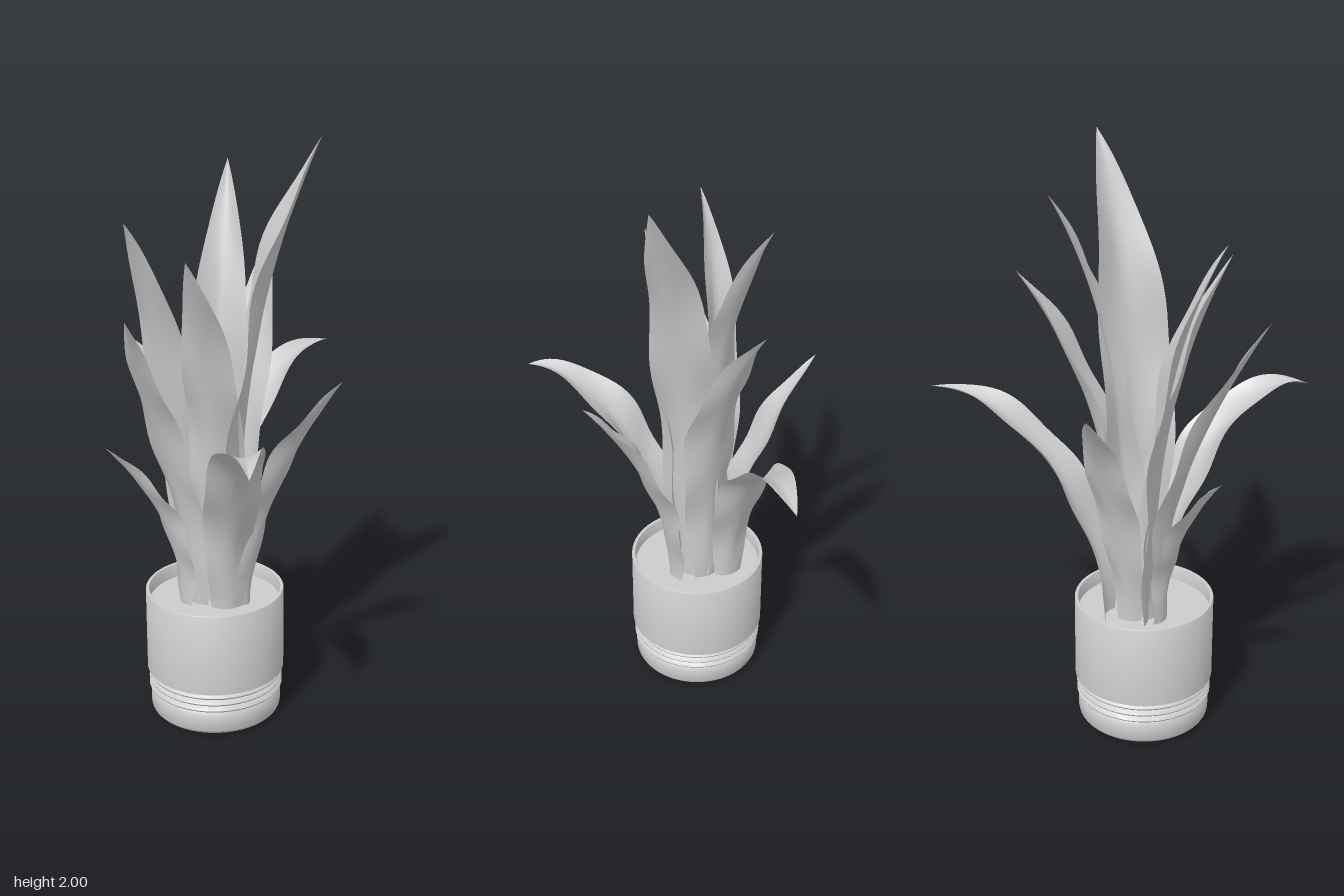
import * as THREE from 'three';
import { toCreasedNormals } from 'three/addons/utils/BufferGeometryUtils.js';

const potX = -0.07, potZ = 0.155, rootY = 0.4;

// Channelled, pointed blade swept along a curve; angle turns its width about y
function leafGeometry(curve, width, angle, phase) {
  const rows = 40, cols = 8;
  const pos = [], index = [];
  for (let i = 0; i <= rows; i++) {
    const t = i / rows;
    const centre = curve.getPointAt(t), tangent = curve.getTangentAt(t);
    const side = new THREE.Vector3(Math.cos(angle), 0, Math.sin(angle));
    side.addScaledVector(tangent, -side.dot(tangent)).normalize();
    // inner face looks towards the middle of the plant and upwards
    const inner = new THREE.Vector3().crossVectors(side, tangent).normalize();
    const guide = new THREE.Vector3(potX - centre.x, 0.25, potZ - centre.z);
    if (inner.dot(guide) < 0) inner.negate();
    const taper = t < 0.5
      ? 0.56 + 0.44 * Math.sin(t * Math.PI)
      : 1 - Math.pow((t - 0.5) / 0.5, 2.1);
    const half = 0.5 * width * taper;
    for (let j = 0; j <= cols; j++) {
      const s = j / cols * 2 - 1;
      const ripple = 0.14 * Math.sin(t * 19 + phase + s * 0.9) * Math.abs(s);
      const lift = half * (0.45 * (Math.pow(Math.abs(s), 1.5) - 0.4) + ripple);
      const v = centre.clone().addScaledVector(side, half * s).addScaledVector(inner, lift);
      pos.push(v.x, v.y, v.z);
      if (i < rows && j < cols) {
        const a = i * (cols + 1) + j, b = a + cols + 1;
        index.push(a, a + 1, b, a + 1, b + 1, b);
      }
    }
  }
  const g = new THREE.BufferGeometry();
  g.setAttribute('position', new THREE.Float32BufferAttribute(pos, 3));
  g.setIndex(index);
  g.computeVertexNormals();
  return g;
}

export function createModel() {
  const model = new THREE.Group();
  model.name = 'pottedPlant';
  const solid = new THREE.MeshStandardMaterial({ color: 0xcccccc });
  const thin = new THREE.MeshStandardMaterial({ color: 0xcccccc, side: THREE.DoubleSide });

  // Pot: rounded foot, ribbed band, straight wall and open rim
  const profile = [];
  const to = (r, y) => profile.push(new THREE.Vector2(r, y));
  to(0, 0);
  for (let i = 0; i <= 5; i++) {
    const a = i / 5 * Math.PI / 2;
    to(0.196 + 0.03 * Math.sin(a), 0.03 * (1 - Math.cos(a)));
  }
  to(0.226, 0.075);
  for (let i = 0; i <= 18; i++) {
    to(0.218 + 0.014 * Math.abs(Math.sin(i / 6 * Math.PI)), 0.088 + i * 0.004);
  }
  to(0.237, 0.165);
  to(0.237, 0.457);
  to(0.235, 0.46);
  to(0.226, 0.46);
  to(0.224, 0.457);
  to(0.224, 0.39);
  const pot = new THREE.Mesh(toCreasedNormals(new THREE.LatheGeometry(profile, 64), 0.7), solid);
  pot.name = 'pot';
  pot.position.set(potX, 0, potZ);
  model.add(pot);

  // Soil surface just below the rim
  const soil = new THREE.Mesh(new THREE.CircleGeometry(0.225, 64).rotateX(-Math.PI / 2), solid);
  soil.name = 'soil';
  soil.position.set(potX, 0.41, potZ);
  model.add(soil);

  // Leaves rise straight from the root, then bend out towards the tip
  const foliage = new THREE.Group();
  foliage.name = 'leaves';
  model.add(foliage);
  const V = (x, y, z) => new THREE.Vector3(x, y, z);
  function addLeaf(name, width, degrees, rootX, rootZ, bend, tip, steepness = 0.34) {
    const root = V(rootX, rootY, rootZ);
    const rise = V(rootX, rootY + (tip.y - rootY) * steepness, rootZ);
    const curve = new THREE.CubicBezierCurve3(root, rise, bend, tip);
    const phase = foliage.children.length * 1.7;
    const leaf = new THREE.Mesh(leafGeometry(curve, width, THREE.MathUtils.degToRad(degrees), phase), thin);
    leaf.name = name;
    foliage.add(leaf);
  }

  // Tall inner leaves
  addLeaf('tallLeafBackLeft', 0.25, 38, -0.03, 0.1, V(-0.01, 1.45, 0.12), V(0.134, 2, -0.137));
  addLeaf('tallLeafBackRight', 0.2, -38, -0.13, 0.12, V(-0.06, 1.4, 0.12), V(-0.257, 1.88, -0.09));
  addLeaf('tallLeafBack', 0.19, -22, -0.1, 0.08, V(-0.05, 1.2, 0.02), V(-0.21, 1.6, -0.24));
  addLeaf('tallLeafFrontLeft', 0.19, -32, -0.04, 0.16, V(-0.04, 1.25, 0.18), V(0.07, 1.67, 0.385));
  addLeaf('tallLeafFrontRight', 0.15, -32, -0.14, 0.2, V(-0.2, 1.4, 0.25), V(-0.13, 1.77, 0.46));
  addLeaf('middleLeafFront', 0.15, -6, -0.09, 0.22, V(-0.19, 1.13, 0.35), V(-0.015, 1.5, 0.56));

  // Short arching outer leaves
  addLeaf('shortLeafFront', 0.13, 6, -0.12, 0.25, V(-0.13, 0.82, 0.31), V(-0.21, 1.02, 0.5));
  addLeaf('archedLeafRight', 0.14, 82, -0.17, 0.15, V(-0.28, 1.08, 0.08), V(-0.475, 1.26, 0.16));
  addLeaf('archedLeafLeft', 0.17, 76, 0.03, 0.1, V(0.125, 1.02, -0.01), V(0.344, 1.26, -0.03));
  addLeaf('archedLeafFrontLeft', 0.19, -60, 0.015, 0.17, V(0.24, 1.24, 0.3), V(0.475, 1.11, 0.5), 0.53);
  addLeaf('archedLeafBack', 0.17, -11, -0.17, 0.07, V(-0.225, 1.23, -0.17), V(-0.246, 1.155, -0.56), 0.46);
  return model;
}
